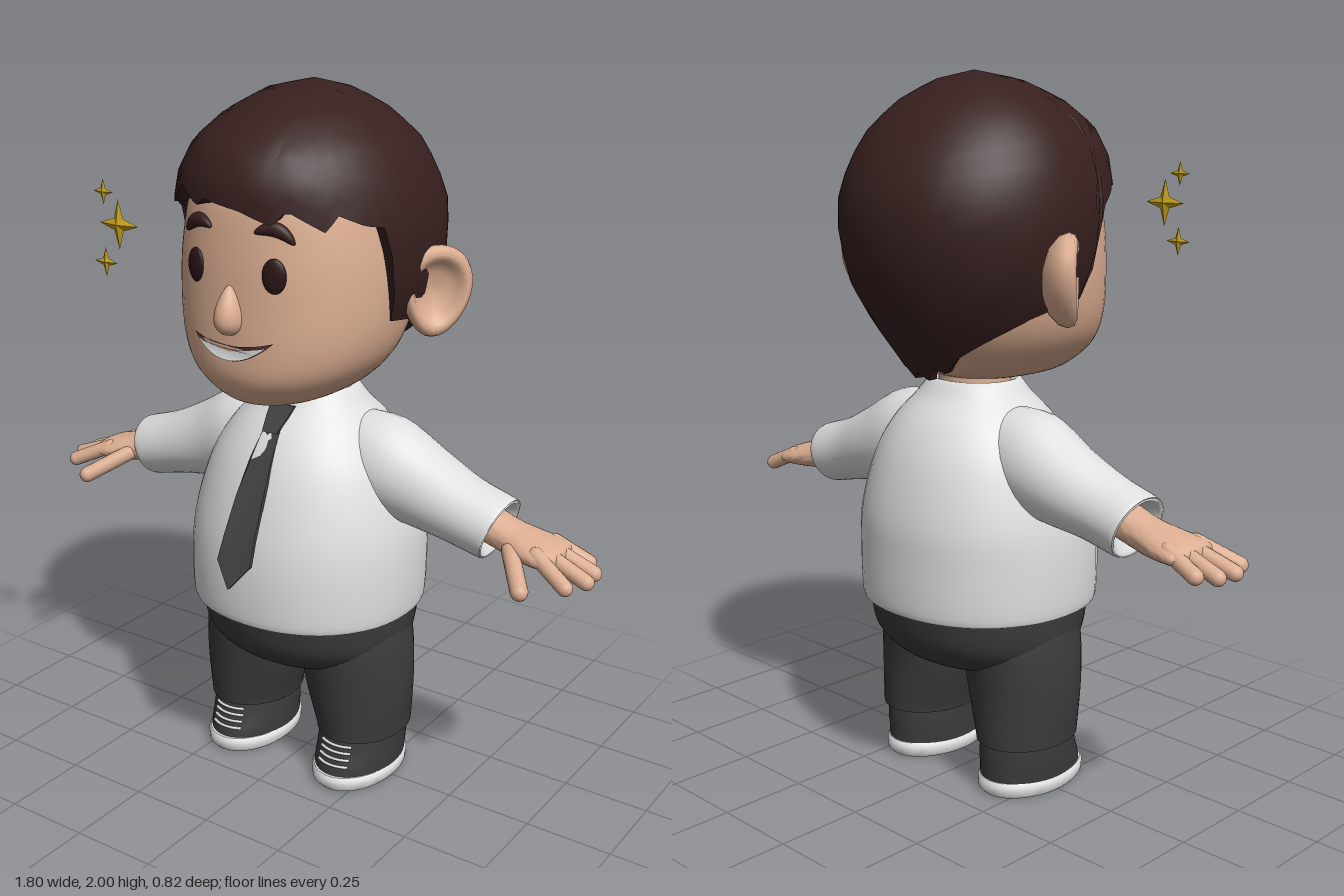
import * as THREE from 'three';
import { toCreasedNormals } from 'three/addons/utils/BufferGeometryUtils.js';

const mat = (name, color, side = THREE.FrontSide) => {
  const m = new THREE.MeshStandardMaterial({ color, side });
  m.name = name;
  return m;
};
const lerp = THREE.MathUtils.lerp;

// Closed surface of nu columns around and nv rows upward; fn(column, row) gives [x, y, z]
function grid(nu, nv, fn, crease = 0.8) {
  const pos = [], idx = [];
  for (let j = 0; j <= nv; j++) for (let i = 0; i < nu; i++) pos.push(...fn(i, j));
  for (let j = 0; j < nv; j++) for (let i = 0; i < nu; i++) {
    const a = j * nu + i, b = j * nu + (i + 1) % nu;
    idx.push(a, b, b + nu, a, b + nu, a + nu);
  }
  const g = new THREE.BufferGeometry();
  g.setAttribute('position', new THREE.Float32BufferAttribute(pos, 3));
  g.setIndex(idx);
  g.computeVertexNormals();
  return toCreasedNormals(g, crease);
}

// Smooth in-between rings
function refine(rings, k) {
  const out = [];
  for (let i = 0; i < rings.length - 1; i++) {
    const [p0, p1, p2, p3] = [-1, 0, 1, 2].map(d => rings[THREE.MathUtils.clamp(i + d, 0, rings.length - 1)]);
    for (let s = 0; s < k; s++) {
      const t = s / k;
      out.push(p1.map((b, n) => b + 0.5 * t * (p2[n] - p0[n] + t * (2 * p0[n] - 5 * b + 4 * p2[n] - p3[n]
        + t * (3 * (b - p2[n]) + p3[n] - p0[n])))));
    }
  }
  return [...out, rings[rings.length - 1]];
}

// Loft of rounded rings [y, cx, cz, rx, rz]
const power = (v, n) => Math.sign(v) * Math.abs(v) ** (2 / n);
function loft(rings, k = 4, n = 2, seg = 40) {
  const r = k > 1 ? refine(rings, k) : rings;
  return grid(seg, r.length - 1, (i, j) => {
    const a = i / seg * Math.PI * 2, [y, cx, cz, rx, rz] = r[j];
    return [cx + rx * power(Math.sin(a), n), y, cz + rz * power(Math.cos(a), n)];
  });
}

// Linear lookup in a table sorted by its first column
function lookup(table, v) {
  let i = 0;
  while (i < table.length - 2 && table[i + 1][0] < v) i++;
  const a = table[i], b = table[i + 1];
  const t = THREE.MathUtils.clamp((v - a[0]) / (b[0] - a[0]), 0, 1);
  return a.map((x, n) => lerp(x, b[n], t));
}

const HEAD = refine([[1.155, 0, 0.08, 0.01, 0.01], [1.165, 0, 0.08, 0.1, 0.16], [1.19, 0, 0.07, 0.165, 0.23],
  [1.25, 0, 0.07, 0.24, 0.275], [1.33, 0, 0.055, 0.288, 0.3], [1.45, 0, 0.035, 0.31, 0.317],
  [1.6, 0, 0.02, 0.308, 0.322], [1.75, 0, 0.01, 0.275, 0.3], [1.86, 0, 0, 0.18, 0.2], [1.91, 0, 0, 0.01, 0.01]], 4);
const faceZ = (x, y) => {
  const [, , cz, rx, rz] = lookup(HEAD, y);
  return cz + rz * (1 - Math.abs(x / rx) ** 2.2) ** (1 / 2.2);
};

// Hair: [y, half width, front depth, back depth] and hairline height by angle from the front
const HAIR = [[1.18, 0.13, 0.28, 0.205], [1.25, 0.2, 0.3, 0.25], [1.35, 0.29, 0.33, 0.305], [1.45, 0.345, 0.36, 0.355],
  [1.58, 0.363, 0.39, 0.38], [1.68, 0.36, 0.408, 0.378], [1.77, 0.333, 0.408, 0.335], [1.85, 0.29, 0.37, 0.28],
  [1.92, 0.215, 0.275, 0.2], [1.975, 0.12, 0.14, 0.1], [2, 0, 0, 0]];
const HAIRLINE = [[-180, 1.2], [-168, 1.18], [-160, 1.22], [-148, 1.2], [-140, 1.25], [-105, 1.36], [-88, 1.39], [-74, 1.4],
  [-68, 1.64], [-50, 1.71], [-42, 1.69], [-30, 1.75], [-15, 1.71], [-10, 1.73], [8, 1.71], [22, 1.675], [28, 1.715],
  [42, 1.66], [48, 1.7], [58, 1.67], [67, 1.66], [74, 1.4], [88, 1.39], [105, 1.36], [140, 1.25], [148, 1.2],
  [160, 1.22], [168, 1.18], [180, 1.2]];
function hairGeometry() {
  const cols = 120, rows = 15;
  return grid(cols, rows, (i, j) => {
    const deg = i / cols * 360 - 180, a = deg * Math.PI / 180;
    const hem = lookup(HAIRLINE, deg)[1];
    const t = j === 0 ? 1 : 1 - (j - 1) / (rows - 1);
    const y = 2 - (2 - hem) * t ** 1.8;
    const [, rx, zf, zb] = lookup(HAIR, y);
    const k = j === 0 ? 0.84 : 1; // first row turns in under the hem
    return [k * rx * Math.sin(a), y, -0.03 + k * (Math.cos(a) > 0 ? zf : zb) * Math.cos(a)];
  }, 0.5);
}

// Move vertices by a rule
function bend(g, rule) {
  const p = g.attributes.position, v = new THREE.Vector3();
  for (let i = 0; i < p.count; i++) {
    v.fromBufferAttribute(p, i);
    rule(v);
    p.setXYZ(i, v.x, v.y, v.z);
  }
  g.computeVertexNormals();
  return g;
}
const ball = (x, y, z) => new THREE.SphereGeometry(1, 24, 16).scale(x, y, z);

export function createModel() {
  const model = new THREE.Group();
  model.name = 'officeWorker';
  const skin = mat('skin', 0xdcae92), shirt = mat('shirt', 0xe0e0e0), trouser = mat('trousers', 0x3b3b3b);
  const tieMat = mat('tie', 0x424244), hairMat = mat('hair', 0x37201f, THREE.DoubleSide), eyeMat = mat('eye', 0x2a1516);
  const white = mat('white', 0xececec, THREE.DoubleSide), lip = mat('mouth', 0x5c2f28, THREE.DoubleSide);
  const gold = mat('gold', 0xc9a21a);
  const add = (name, geo, m, x = 0, y = 0, z = 0) => {
    const mesh = new THREE.Mesh(geo, m);
    mesh.name = name;
    mesh.position.set(x, y, z);
    model.add(mesh);
    return mesh;
  };
  // Rounded rod between two points
  const rod = (name, a, b, r, m) => {
    const A = new THREE.Vector3(...a), B = new THREE.Vector3(...b), d = B.clone().sub(A);
    const mesh = add(name, new THREE.CapsuleGeometry(r, d.length(), 6, 14), m);
    mesh.position.copy(A).lerp(B, 0.5);
    mesh.quaternion.setFromUnitVectors(new THREE.Vector3(0, 1, 0), d.normalize());
  };

  // Body
  add('shirtBody', loft([[0.545, 0, -0.012, 0.28, 0.28], [0.528, 0, -0.012, 0.325, 0.31], [0.55, 0, -0.012, 0.338, 0.322],
    [0.68, 0, -0.013, 0.342, 0.322], [0.8, 0, -0.02, 0.332, 0.31], [0.95, 0, -0.025, 0.288, 0.268],
    [1.05, 0, -0.028, 0.228, 0.215], [1.12, 0, -0.028, 0.165, 0.153], [1.155, 0, -0.028, 0.138, 0.127],
    [1.165, 0, -0.028, 0.122, 0.112], [1.14, 0, -0.028, 0.09, 0.09]], 4, 2.15, 48), shirt);
  add('neck', new THREE.CylinderGeometry(0.1, 0.105, 0.12, 32), skin, 0, 1.16, -0.028);
  add('hips', loft([[0.325, 0, -0.015, 0.01, 0.01], [0.335, 0, -0.015, 0.12, 0.1], [0.355, 0, -0.015, 0.23, 0.18],
    [0.39, 0, -0.015, 0.285, 0.238], [0.45, 0, -0.015, 0.318, 0.285], [0.55, 0, -0.015, 0.325, 0.308]]), trouser);

  // Tie: flat blade hanging forward, with a knot
  const drop = [[0.67, 0.378], [0.8, 0.325], [0.93, 0.262], [1.05, 0.19], [1.14, 0.1]];
  const tiePart = (name, half, lift) => {
    const pts = [...half, ...half.map(([x, y]) => [-x, y]).reverse()].map(p => new THREE.Vector2(...p));
    const g = new THREE.ExtrudeGeometry(new THREE.Shape(pts), { depth: 0.012 + 2 * lift, bevelEnabled: false });
    add(name, toCreasedNormals(bend(g, v => { v.z += lookup(drop, v.y)[1] - 0.008 - lift; }), 0.5), tieMat);
  };
  tiePart('tieBlade', [[0.001, 0.668], [0.055, 0.735], [0.051, 0.8], [0.045, 0.9], [0.035, 1], [0.026, 1.08]], 0);
  tiePart('tieKnot', [[0.024, 1.065], [0.034, 1.1], [0.04, 1.13]], 0.007);

  // Head and face
  add('head', loft(HEAD, 1, 2.2, 56), skin);
  add('hair', hairGeometry(), hairMat);
  add('nose', bend(ball(0.037, 0.066, 0.048), v => { v.x *= 1 - 6 * v.y; v.z *= 1 - 6 * v.y; }), skin, 0, 1.445, 0.348);
  const smile = (name, w, corner, low, high, lift, m) => {
    const s = new THREE.Shape();
    s.moveTo(-w, corner).quadraticCurveTo(0, low, w, corner).quadraticCurveTo(0, high, -w, corner);
    add(name, bend(new THREE.ShapeGeometry(s, 20), v => { v.z = faceZ(v.x, v.y) + lift; }), m);
  };
  smile('mouth', 0.128, 1.372, 1.252, 1.335, 0.004, lip);
  smile('teeth', 0.112, 1.36, 1.267, 1.332, 0.008, white);

  // Ear: cupped bowl with a rolled rim
  const earProfile = [[0, 0], [0.04, 0.004], [0.06, 0.02], [0.068, 0.034], [0.08, 0.04], [0.093, 0.033], [0.098, 0.015],
    [0.092, -0.008], [0.07, -0.035], [0.035, -0.05], [0, -0.055]].reverse().map(p => new THREE.Vector2(...p));

  for (const s of [1, -1]) {
    const side = s > 0 ? 'left' : 'right';
    const ear = bend(new THREE.LatheGeometry(earProfile, 32).rotateX(Math.PI / 2).scale(1, 1.27, 1),
      v => { v.x *= 1 + 1.6 * v.y; });
    add(side + 'Ear', ear, skin, s * 0.36, 1.465, -0.07).rotation.set(0, s * 0.9, -s * 0.1, 'YXZ');
    add(side + 'Eye', ball(0.033, 0.046, 0.012), eyeMat, s * 0.125, 1.545, faceZ(0.125, 1.545)).rotation.y = s * 0.3;
    add(side + 'Brow', bend(ball(0.056, 0.019, 0.016), v => { v.y -= 7 * v.x * v.x; }),
      hairMat, s * 0.125, 1.662, faceZ(0.125, 1.66) + 0.004).rotation.set(0, s * 0.3, -s * 0.22, 'YXZ');

    // Sleeve and hand, lofted along the arm
    const along = (name, rings, m) => {
      const g = loft(rings.map(([y, cx, ...r]) => [y, cx * s, ...r]), 4, 2, 32);
      add(name, g, m, s * 0.12, 1.02, -0.04).rotation.z = -s * Math.PI * 110 / 180;
    };
    along(side + 'Sleeve', [[-0.02, 0.02, 0, 0.1, 0.1], [0.12, 0.018, 0, 0.142, 0.128], [0.26, 0.016, -0.005, 0.119, 0.117],
      [0.39, 0.009, 0, 0.098, 0.105], [0.5, 0, 0, 0.093, 0.101], [0.512, 0, 0, 0.088, 0.096], [0.51, 0, 0, 0.078, 0.086],
      [0.47, 0, 0, 0.045, 0.055]], shirt);
    along(side + 'Palm', [[0.45, 0, 0, 0.05, 0.06], [0.54, -0.002, 0, 0.046, 0.062], [0.6, -0.01, 0.002, 0.042, 0.078],
      [0.66, -0.022, 0.004, 0.035, 0.09], [0.695, -0.028, 0.004, 0.025, 0.082], [0.71, -0.03, 0.004, 0.004, 0.03]], skin);
    [[-0.093, 0.835, -0.106], [-0.057, 0.87, -0.06], [-0.015, 0.877, 0.002], [0.022, 0.847, 0.066]].forEach(([z0, x, z], i) =>
      rod(side + 'Finger' + (i + 1), [s * 0.74, 0.826, z0], [s * x, 0.777 + 0.006 * (i < 1), z], 0.022, skin));
    rod(side + 'Thumb', [s * 0.665, 0.82, 0.02], [s * 0.748, 0.762, 0.125], 0.024, skin);

    // Leg and shoe
    add(side + 'Leg', loft([[0.16, s * 0.195, -0.015, 0.11, 0.13], [0.148, s * 0.195, -0.015, 0.128, 0.156],
      [0.165, s * 0.195, -0.015, 0.132, 0.16], [0.3, s * 0.18, -0.01, 0.158, 0.168], [0.42, s * 0.168, -0.01, 0.162, 0.18],
      [0.5, s * 0.16, -0.01, 0.155, 0.18]]), trouser);
    const shoe = [[0.03, s * 0.193, 0.002, 0.116, 0.168], [0.06, s * 0.193, 0, 0.118, 0.165],
      [0.11, s * 0.194, -0.01, 0.12, 0.155], [0.17, s * 0.195, -0.015, 0.118, 0.145]];
    add(side + 'Shoe', loft(shoe), trouser);
    add(side + 'Sole', loft([[0, s * 0.193, 0.004, 0.001, 0.001], [0, s * 0.193, 0.004, 0.112, 0.168],
      [0.01, s * 0.193, 0.004, 0.12, 0.177], [0.035, s * 0.193, 0.004, 0.122, 0.179], [0.045, s * 0.193, 0.004, 0.116, 0.172],
      [0.046, s * 0.193, 0.004, 0.09, 0.13]], 1), white);
    for (let i = 0; i < 4; i++) {
      const y = 0.074 + i * 0.019, [, cx, cz, rx, rz] = lookup(shoe, y);
      const pts = [-0.05, -0.025, 0, 0.025, 0.05].map(x =>
        new THREE.Vector3(cx + x, y, cz + rz * Math.sqrt(1 - (x / rx) ** 2) + 0.002));
      add(side + 'Lace' + (i + 1), new THREE.TubeGeometry(new THREE.CatmullRomCurve3(pts), 10, 0.0045, 6), white);
    }
  }

  // Four-pointed sparkles beside the head
  [[-0.32, 1.64, 0.066], [-0.37, 1.722, 0.034], [-0.37, 1.535, 0.04]].forEach(([x, y, r], i) => {
    const star = bend(new THREE.SphereGeometry(1, 8, 2), v => {
      const k = Math.abs(v.x * v.z) > 0.1 ? 0.34 : 1;
      v.set(v.x * k * r, v.y * r * 0.18, v.z * k * r);
    });
    add('sparkle' + (i + 1), toCreasedNormals(star.rotateX(Math.PI / 2), 0.1), gold, x, y, 0.404);
  });
  return model;
}
